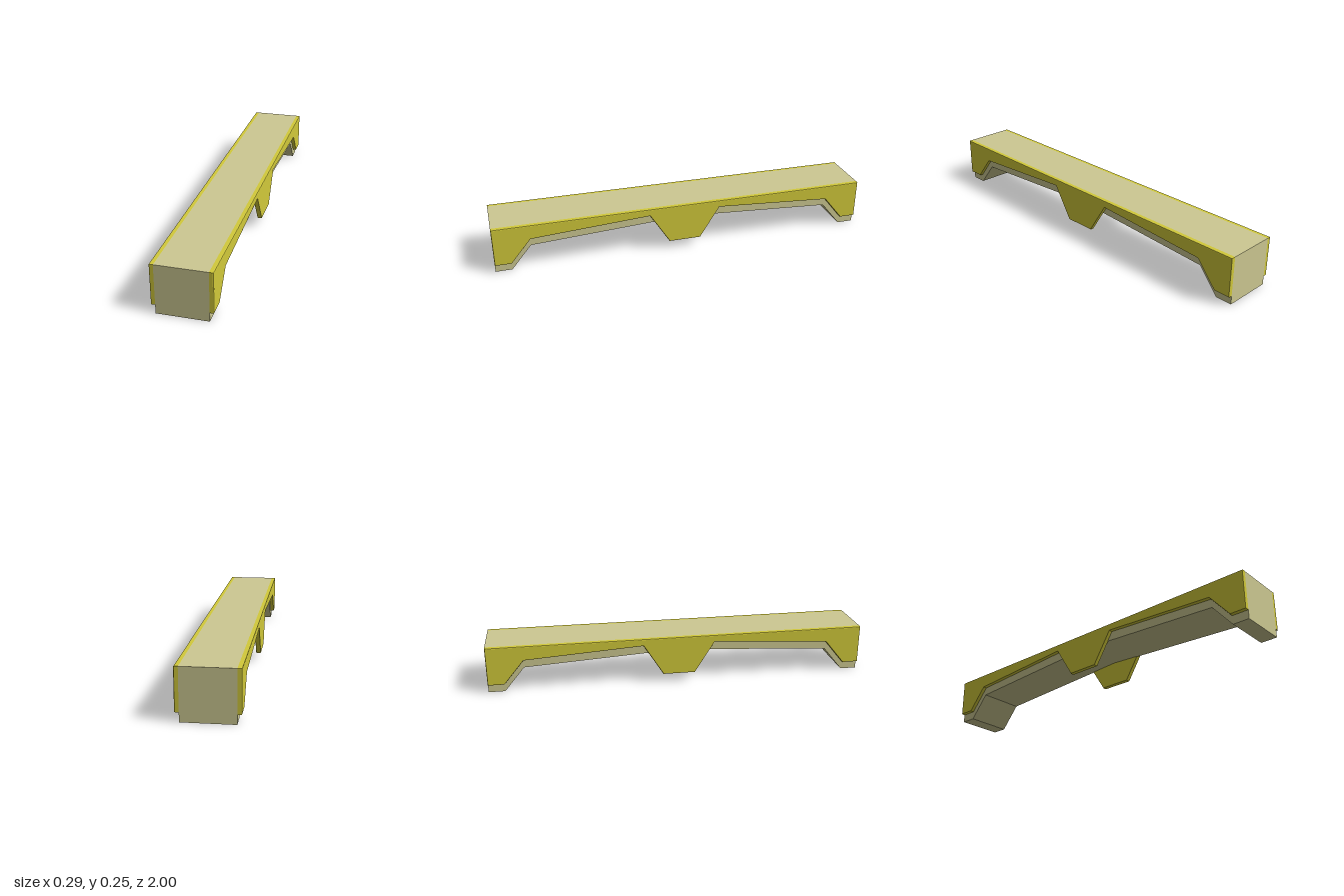
import * as THREE from 'three';

// Closed shape in (length, height), mirrored from its half outline
function mirroredShape(half) {
  const other = half.filter(([z]) => z > 0).reverse().map(([z, y]) => [-z, y]);
  return new THREE.Shape([...half, ...other].map(([z, y]) => new THREE.Vector2(z, y)));
}

export function createModel() {
  const group = new THREE.Group();
  const stone = new THREE.MeshStandardMaterial({ color: 0xcdc992, flatShading: true });
  const yellow = new THREE.MeshStandardMaterial({ color: 0xd2ca3a, flatShading: true });

  // Bridge deck with a foot at each end and a gently rising underside
  const deckGeometry = new THREE.ExtrudeGeometry(mirroredShape([
    [1, 0.25], [1, 0], [0.915, 0], [0.81, 0.127], [0, 0.175],
  ]), { depth: 0.25, bevelEnabled: false });
  deckGeometry.translate(0, 0, -0.125).rotateY(Math.PI / 2);
  const deck = new THREE.Mesh(deckGeometry, stone);
  deck.name = 'deck';
  group.add(deck);

  // Bevelled side panels with a central tab; the inner bevel sits inside the deck
  const panelShape = mirroredShape([
    [1, 0.25], [1, 0.045], [0.915, 0.045], [0.81, 0.172], [0.19, 0.212], [0.085, 0.045],
  ]);
  const bevel = 0.005;
  for (const side of [1, -1]) {
    const geometry = new THREE.ExtrudeGeometry(panelShape, {
      depth: 0.016, bevelThickness: bevel, bevelSize: bevel, bevelOffset: -bevel, bevelSegments: 2,
    });
    geometry.translate(0, 0, 0.125).rotateY(side * Math.PI / 2);
    const panel = new THREE.Mesh(geometry, yellow);
    panel.name = side > 0 ? 'leftPanel' : 'rightPanel';
    group.add(panel);
  }
  return group;
}
